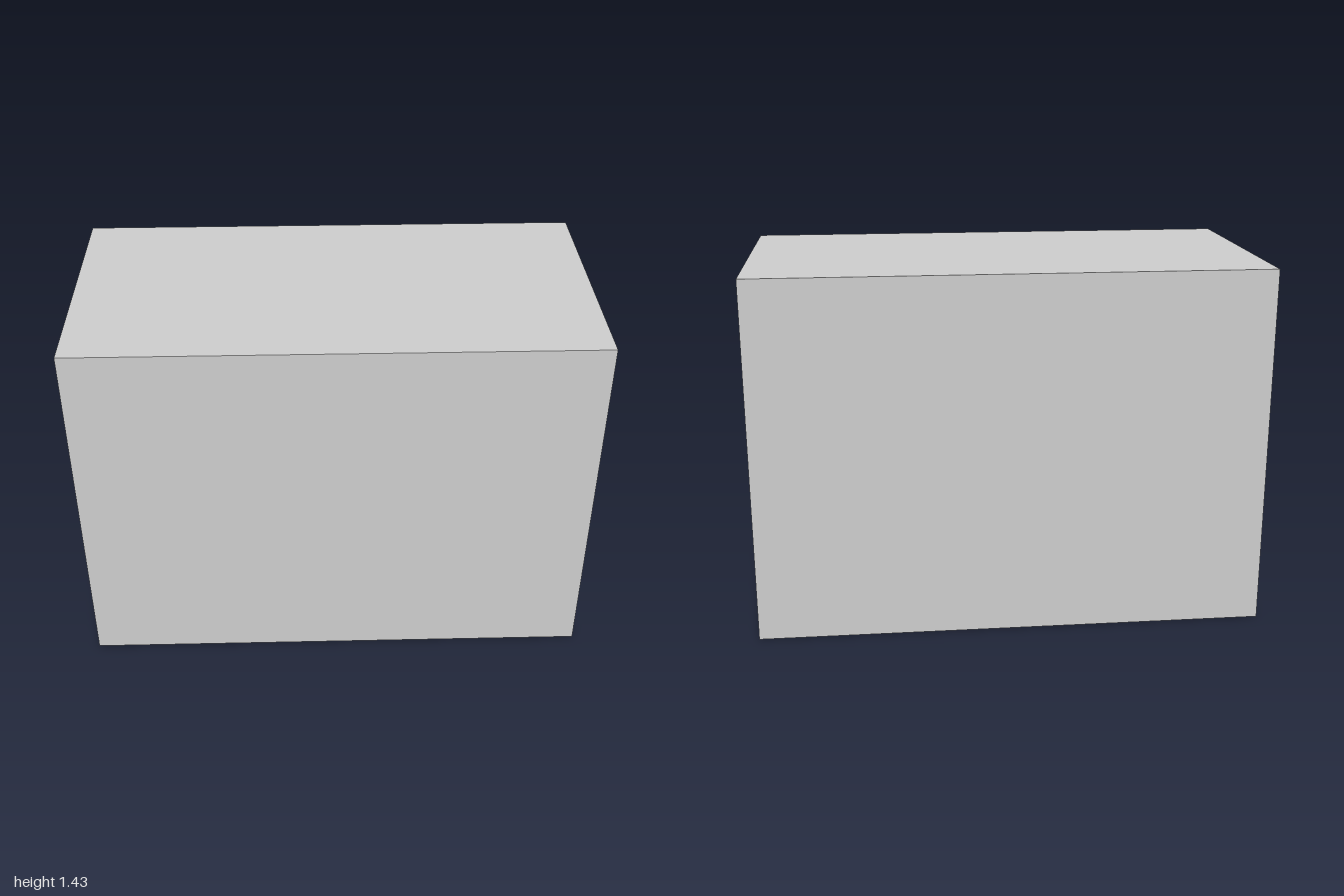
import * as THREE from 'three';

const material = new THREE.MeshStandardMaterial({ color: 0xcccccc });

// Box given by its min/max corners
function box(parent, name, [x0, x1], [y0, y1], [z0, z1]) {
  const mesh = new THREE.Mesh(new THREE.BoxGeometry(x1 - x0, y1 - y0, z1 - z0), material);
  mesh.position.set((x0 + x1) / 2, (y0 + y1) / 2, (z0 + z1) / 2);
  mesh.name = name;
  parent.add(mesh);
  return mesh;
}

export function createModel() {
  const model = new THREE.Group();
  model.name = 'corridor';
  const half = 0.513, inner = 0.463, floorTop = 0.055, ceiling = 1.362, top = 1.43;

  // Floor slab
  box(model, 'floor', [-1, 1], [0, floorTop], [-half, half]);

  // Walls and roof: an upside-down U run along x
  const profile = new THREE.Shape([
    [-half, floorTop], [-inner, floorTop], [-inner, ceiling], [inner, ceiling],
    [inner, floorTop], [half, floorTop], [half, top], [-half, top],
  ].map(([x, y]) => new THREE.Vector2(x, y)));
  const shellGeometry = new THREE.ExtrudeGeometry(profile, { depth: 2, bevelEnabled: false });
  shellGeometry.translate(0, 0, -1).rotateY(Math.PI / 2);
  const shell = new THREE.Mesh(shellGeometry, material);
  shell.name = 'wallsAndRoof';
  model.add(shell);

  for (const side of [-1, 1]) {
    const span = (a, b) => [Math.min(a * side, b * side), Math.max(a * side, b * side)];

    // Half-open sliding door leaves at both ends
    for (const [end, x] of [['right', [0.91, 0.975]], ['left', [-0.975, -0.91]]]) {
      box(model, `${end}EndDoor`, x, [floorTop, 1.355], span(0.258, 0.458));
    }

    // Handrail on a narrow mounting strip
    const rail = new THREE.Group();
    rail.name = 'handrail';
    box(rail, 'railMount', [-0.9, 0.9], [0.535, 0.56], span(0.45, inner));
    box(rail, 'railBar', [-0.9, 0.9], [0.507, 0.565], span(0.43, 0.455));
    model.add(rail);
  }

  // Control panel with four buttons on the rear wall
  const panel = new THREE.Group();
  panel.name = 'controlPanel';
  box(panel, 'panelPlate', [0.616, 0.82], [0.712, 1.07], [-inner, -0.457]);
  for (let i = 0; i < 4; i++) {
    const y = 0.745 + i * 0.085;
    box(panel, 'panelButton', [0.69, 0.747], [y, y + 0.04], [-0.457, -0.453]);
  }
  model.add(panel);

  return model;
}
